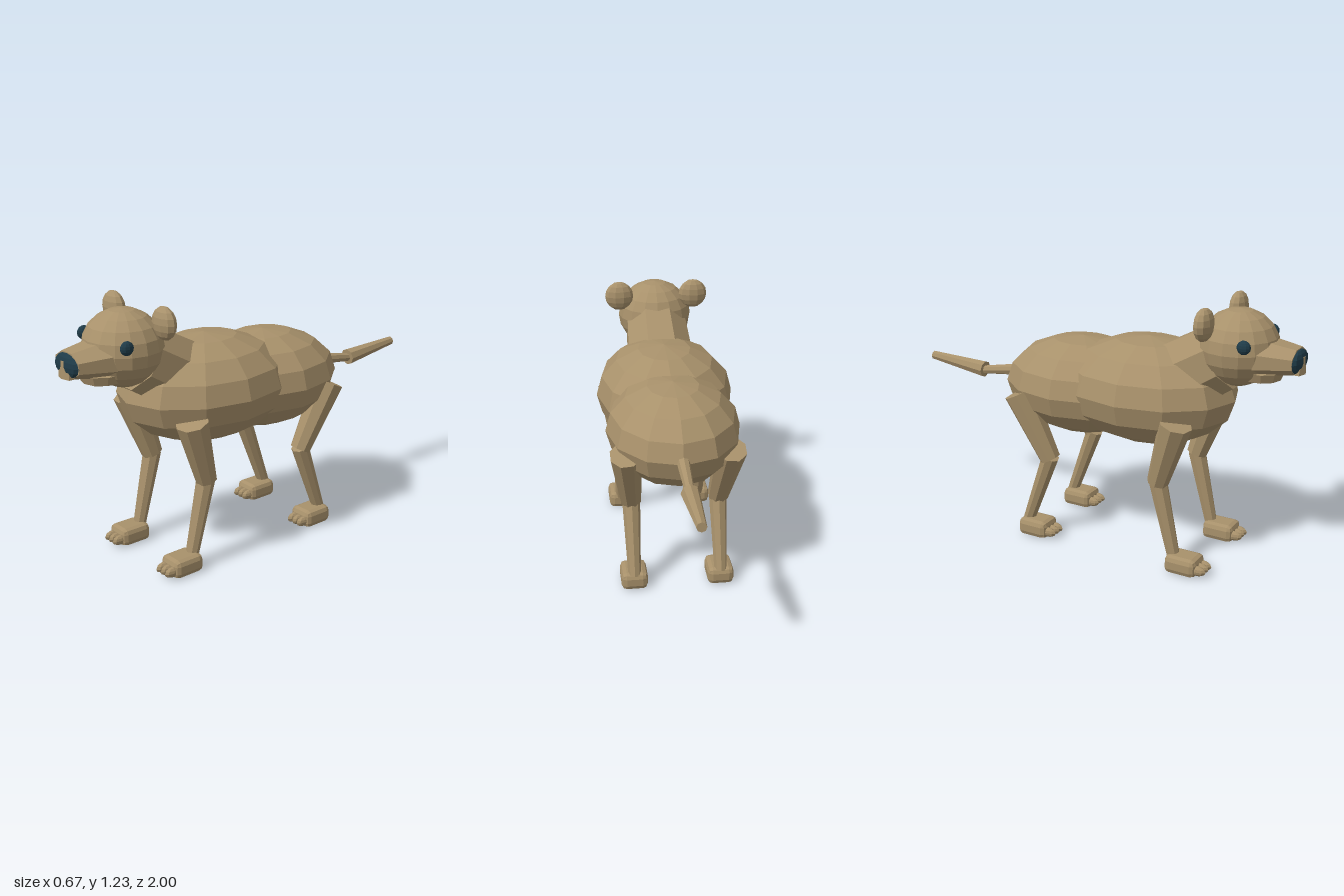
import * as THREE from 'three';
import { RoundedBoxGeometry } from 'three/addons/geometries/RoundedBoxGeometry.js';

export function createModel() {
  const model = new THREE.Group();
  model.name = 'bearCub';
  const fur = new THREE.MeshStandardMaterial({ color: 0xa8916b, flatShading: true });
  fur.name = 'tan fur';
  const dark = new THREE.MeshStandardMaterial({ color: 0x1f3b48, flatShading: true });
  dark.name = 'dark teal';

  function add(name, geometry, material, parent = model) {
    const mesh = new THREE.Mesh(geometry, material);
    mesh.name = name;
    parent.add(mesh);
    return mesh;
  }

  // Faceted ellipsoid from centre and radii
  function ball(name, centre, radii, [w, h], material = fur, parent = model) {
    const geometry = new THREE.SphereGeometry(1, w, h).scale(...radii).translate(...centre);
    return add(name, geometry, material, parent);
  }

  // Tapered limb running from point a to point b
  function limb(name, a, b, ra, rb, sides, parent = model, turn = 0) {
    const from = new THREE.Vector3(...a), to = new THREE.Vector3(...b);
    const axis = to.clone().sub(from);
    const geometry = new THREE.CylinderGeometry(rb, ra, axis.length(), sides).rotateY(turn);
    const mesh = add(name, geometry, fur, parent);
    mesh.quaternion.setFromUnitVectors(new THREE.Vector3(0, 1, 0), axis.normalize());
    mesh.position.copy(from).add(to).multiplyScalar(0.5);
    return mesh;
  }

  // Torso and neck
  ball('chest', [0, 0.78, 0.26], [0.333, 0.247, 0.43], [12, 8]);
  ball('hips', [0, 0.75, -0.09], [0.315, 0.231, 0.39], [12, 8]);
  limb('neck', [0, 0.855, 0.41], [0, 0.985, 0.625], 0.175, 0.16, 8, model, Math.PI / 8);

  // Head with snout, jaw and nose
  ball('head', [0, 1.037, 0.695], [0.185, 0.172, 0.18], [16, 10]);
  const snout = new THREE.CylinderGeometry(0.69, 1, 0.16, 8)
    .rotateY(Math.PI / 8).rotateX(Math.PI / 2)
    .scale(0.14, 0.085, 1).translate(0, 1.012, 0.89);
  add('snout', snout, fur);
  const jaw = new THREE.CylinderGeometry(1, 0.85, 0.04, 10)
    .scale(0.11, 1, 0.1).translate(0, 0.933, 0.81);
  add('jaw', jaw, fur);
  ball('nose', [0, 1.01, 0.968], [0.09, 0.053, 0.028], [10, 8], dark);
  const philtrum = new THREE.CylinderGeometry(0.038, 0.05, 0.075, 6)
    .scale(1, 1, 0.5).translate(0, 0.995, 0.977);
  add('philtrum', philtrum, fur);

  for (const side of [-1, 1]) {
    const label = side > 0 ? 'left' : 'right';
    ball(label + 'Ear', [side * 0.187, 1.163, 0.61], [0.071, 0.073, 0.04], [10, 8]);
    ball(label + 'Eye', [side * 0.164, 1.082, 0.784], [0.023, 0.031, 0.031], [10, 8], dark);

    // Legs: hip or shoulder, knee and ankle as [z, y], then the paw centre z
    const legs = [
      ['Front', [0.515, 0.72], [0.418, 0.415], [0.505, 0.07], 0.56],
      ['Rear', [-0.303, 0.728], [-0.155, 0.412], [-0.285, 0.07], -0.235],
    ];
    for (const [end, top, knee, ankle, pawZ] of legs) {
      const leg = new THREE.Group();
      leg.name = label + end + 'Leg';
      model.add(leg);
      const x = side * 0.207;
      limb('upperLeg', [side * 0.238, top[1], top[0]], [side * 0.208, knee[1], knee[0]],
        0.076, 0.05, 8, leg);
      limb('lowerLeg', [x, knee[1] + 0.01, knee[0]], [x, ankle[1], ankle[0]],
        0.043, 0.03, 8, leg);
      add('paw', new RoundedBoxGeometry(0.126, 0.086, 0.155, 1, 0.025), fur, leg)
        .position.set(x, 0.046, pawZ);
      for (const i of [-1, 0, 1]) {
        ball('toe', [x + i * 0.032, 0.039, pawZ + 0.078], [0.018, 0.024, 0.044],
          [8, 6], fur, leg);
      }
    }
  }

  // Tail in two tapered pieces
  limb('tailBase', [0, 0.76, -0.42], [0, 0.718, -0.69], 0.031, 0.02, 8);
  limb('tailTip', [0, 0.722, -0.675], [0, 0.75, -0.999], 0.041, 0.022, 8);

  return model;
}
